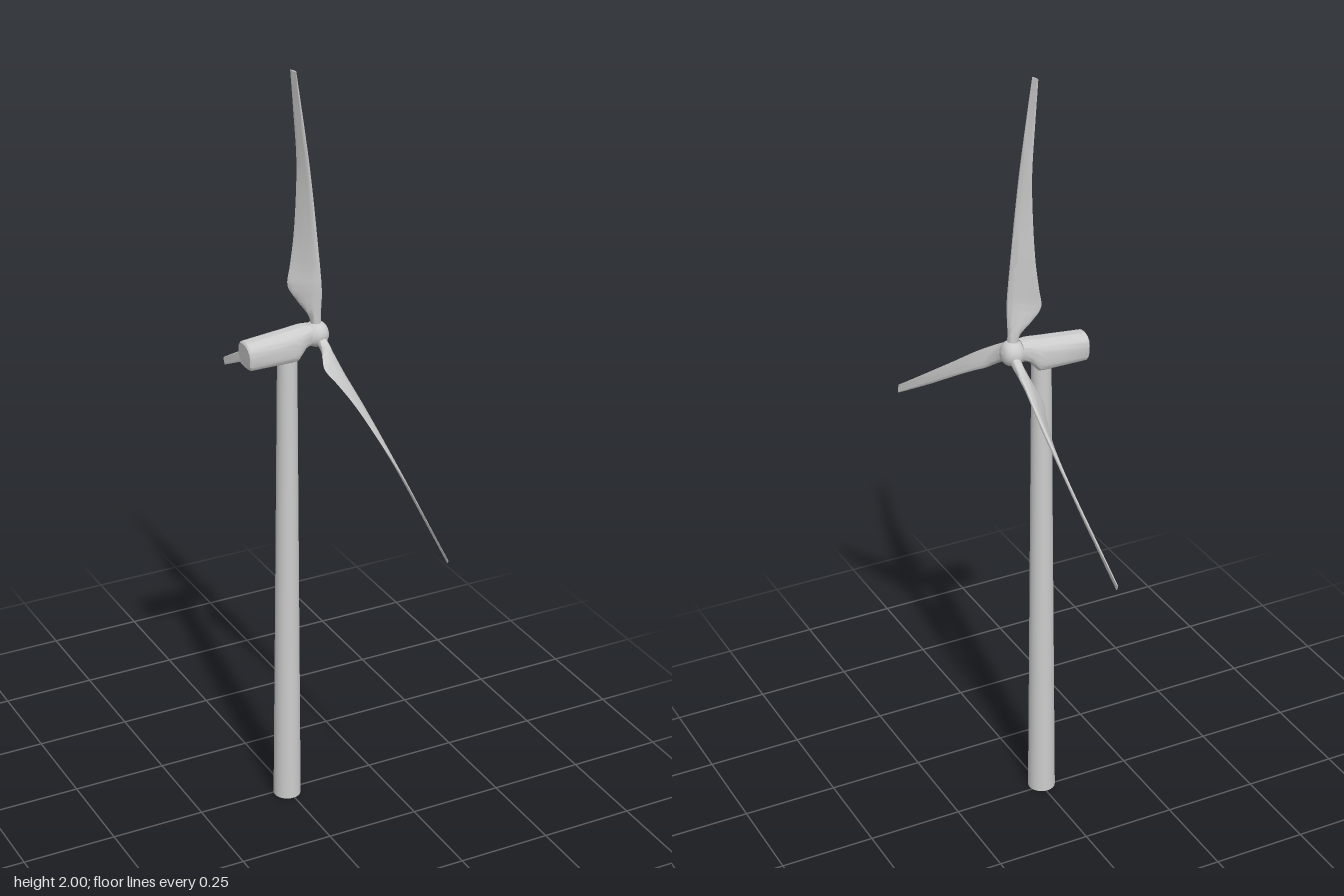
import * as THREE from 'three';
import { toCreasedNormals } from 'three/addons/utils/BufferGeometryUtils.js';

const material = new THREE.MeshStandardMaterial({ color: 0xcccccc });
const AXIS_Z = 0.012;

function addMesh(parent, name, geometry) {
  const mesh = new THREE.Mesh(geometry, material);
  mesh.name = name;
  parent.add(mesh);
  return mesh;
}

// Skin closed loops (counterclockwise seen from the far end), with both ends capped.
function loft(loops) {
  const n = loops[0].length;
  const positions = [];
  const index = [];
  for (const loop of loops) for (const p of loop) positions.push(p.x, p.y, p.z);
  for (let j = 0; j < loops.length - 1; j++) {
    for (let i = 0; i < n; i++) {
      const a = j * n + i, b = j * n + (i + 1) % n;
      index.push(a, b, b + n, a, b + n, a + n);
    }
  }
  const last = (loops.length - 1) * n;
  for (let i = 1; i < n - 1; i++) {
    index.push(0, i + 1, i, last, last + i, last + i + 1);
  }
  const geometry = new THREE.BufferGeometry();
  geometry.setAttribute('position', new THREE.Float32BufferAttribute(positions, 3));
  geometry.setIndex(index);
  return toCreasedNormals(geometry, 0.7);
}

// Blade: leading and trailing edge curves joined by sections that go from round to airfoil.
function bladeGeometry() {
  // radius, leading x, leading z, trailing x, trailing z, half thickness, airfoil amount
  const stations = [
    [0.015, 0.009, 0.009, -0.009, -0.009, 0.013, 0],
    [0.05, 0.010, 0.010, -0.013, -0.012, 0.013, 0.1],
    [0.09, 0.014, 0.014, -0.034, -0.027, 0.012, 0.5],
    [0.13, 0.016, 0.017, -0.049, -0.039, 0.011, 0.9],
    [0.18, 0.017, 0.016, -0.038, -0.039, 0.009, 1],
    [0.25, 0.017, 0.015, -0.024, -0.035, 0.008, 1],
    [0.35, 0.016, 0.015, -0.012, -0.027, 0.006, 1],
    [0.46, 0.013, 0.015, -0.003, -0.020, 0.005, 1],
    [0.58, 0.008, 0.013, -0.002, -0.015, 0.004, 1],
    [0.692, 0.003, 0.010, -0.002, -0.011, 0.003, 1],
  ];
  const curve = (f) => new THREE.CatmullRomCurve3(stations.map(f), false, 'catmullrom');
  const leading = curve((s) => new THREE.Vector3(s[1], s[0], s[2]));
  const trailing = curve((s) => new THREE.Vector3(s[3], s[0], s[4]));
  const thickness = curve((s) => new THREE.Vector3(s[5], s[6], 0));
  const loops = [];
  const rows = 45, sides = 24;
  for (let j = 0; j <= rows; j++) {
    const l = leading.getPoint(j / rows);
    const t = trailing.getPoint(j / rows);
    const { x: half, y: foil } = thickness.getPoint(j / rows);
    const centre = l.clone().add(t).multiplyScalar(0.5);
    const chord = l.clone().sub(t).multiplyScalar(0.5);
    const normal = new THREE.Vector3(chord.z, 0, -chord.x).normalize();
    const loop = [];
    for (let i = 0; i < sides; i++) {
      const a = (i / sides) * Math.PI * 2;
      const c = Math.cos(a);
      const h = half * Math.sin(a) * (1 - foil * 0.4 * (1 - c));
      loop.push(centre.clone().addScaledVector(chord, c).addScaledVector(normal, h));
    }
    loops.push(loop);
  }
  return loft(loops);
}

// Nacelle: round roof, straighter sides and a softly squared underside.
function nacelleGeometry() {
  // x, bottom, top, half width, backward lean of the roof
  const sections = [
    [-0.121, 1.260, 1.323, 0.032, 0.003],
    [-0.117, 1.257, 1.328, 0.035, 0.003],
    [-0.05, 1.257, 1.335, 0.036, 0],
    [0.0, 1.257, 1.340, 0.036, 0],
    [0.014, 1.258, 1.342, 0.035, 0],
    [0.024, 1.270, 1.343, 0.033, 0],
    [0.036, 1.285, 1.344, 0.030, 0],
    [0.056, 1.293, 1.343, 0.025, 0],
  ];
  const sides = 36;
  return loft(sections.map(([x, bottom, top, w, lean]) => {
    const mid = bottom + (top - bottom) * 0.52;
    return Array.from({ length: sides }, (_, i) => {
      const a = (i / sides) * Math.PI * 2;
      const c = Math.cos(a), s = Math.sin(a);
      const power = s < 0 ? 0.5 : 0.9;
      const y = s < 0 ? mid - (mid - bottom) * Math.abs(s) ** power : mid + (top - mid) * s ** power;
      const z = -Math.sign(c) * w * Math.abs(c) ** power;
      return new THREE.Vector3(x - lean * s, y, z);
    });
  }));
}

export function createModel() {
  const model = new THREE.Group();
  model.name = 'windTurbine';

  // Tapered tower
  const tower = addMesh(model, 'tower', new THREE.CylinderGeometry(0.025, 0.036, 1.27, 40));
  tower.position.set(-0.004, 0.635, AXIS_Z);

  addMesh(model, 'nacelle', nacelleGeometry()).position.z = AXIS_Z;

  // Rotor, its axis tilted slightly upward; local x is the axis of spin
  const rotor = new THREE.Group();
  rotor.name = 'rotor';
  rotor.position.set(0.078, 1.313, AXIS_Z);
  rotor.rotation.z = 0.112;
  model.add(rotor);

  // Rounded hub with a short neck behind it
  const profile = new THREE.SplineCurve([
    [0, -0.042], [0.022, -0.04], [0.026, -0.025], [0.032, -0.012], [0.033, 0], [0.029, 0.014], [0.018, 0.024], [0, 0.028],
  ].map(([r, y]) => new THREE.Vector2(r, y))).getPoints(28).map((p) => p.set(Math.max(p.x, 0), p.y));
  const hub = addMesh(rotor, 'hub', new THREE.LatheGeometry(profile, 36));
  hub.rotation.z = -Math.PI / 2;

  // Three blades
  const blade = bladeGeometry();
  for (let k = 0; k < 3; k++) {
    addMesh(rotor, `blade${k + 1}`, blade).rotation.x = 0.03 + (k * Math.PI * 2) / 3;
  }
  return model;
}
